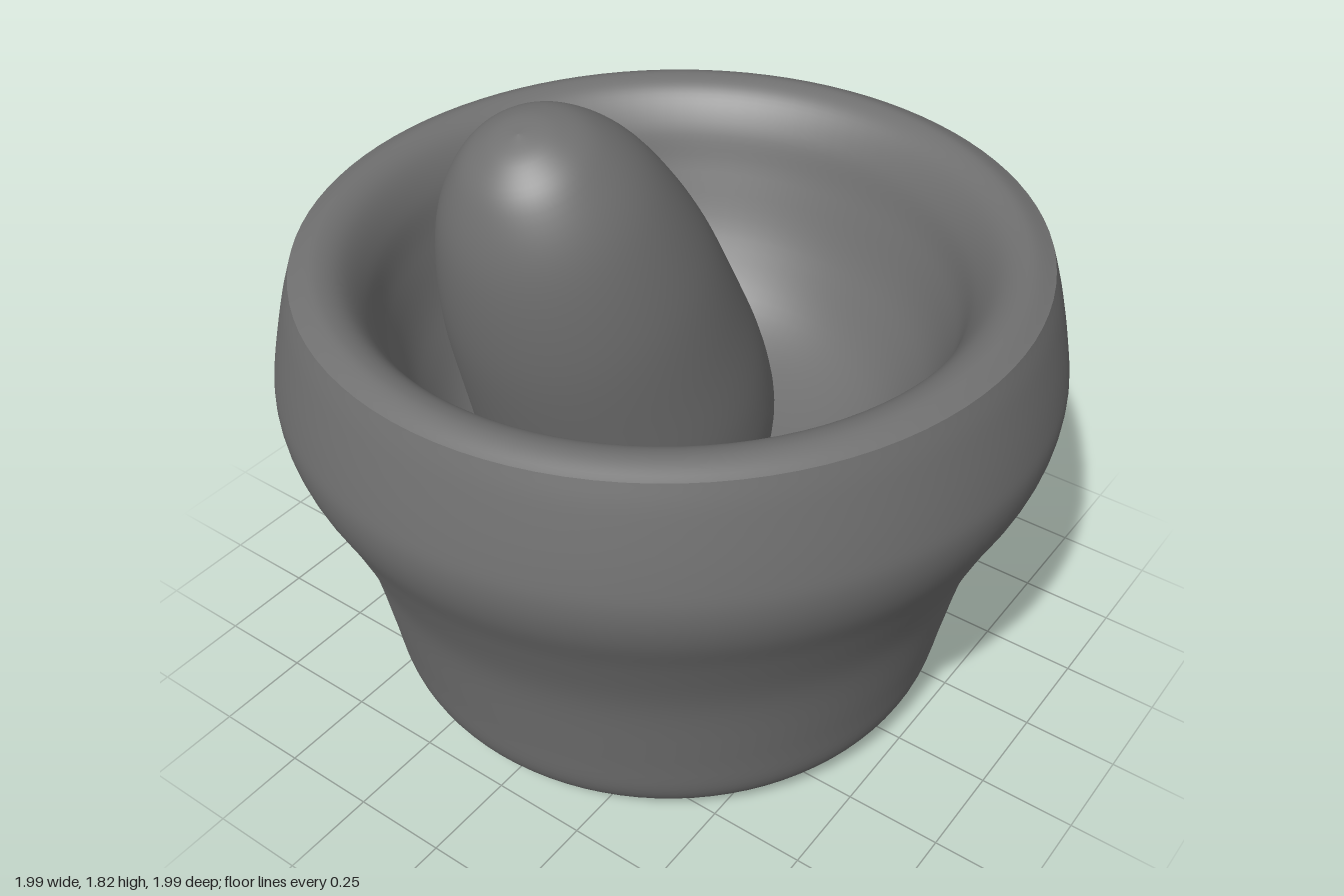
import * as THREE from 'three';

// Smooth lathe surface through a few [radius, height] points, listed from the bottom outwards
function turned(points, steps, segments = 96) {
  const curve = new THREE.SplineCurve(points.map(([r, y]) => new THREE.Vector2(r, y)));
  const profile = curve.getPoints(steps).map((p) => new THREE.Vector2(Math.max(p.x, 0), p.y));
  return new THREE.LatheGeometry(profile, segments);
}

// Hand-made unevenness: the base sits slightly off centre, rim and foot tilt a little
function unevenBowl(geometry) {
  const pos = geometry.attributes.position;
  for (let i = 0; i < pos.count; i++) {
    const x = pos.getX(i), y = pos.getY(i), z = pos.getZ(i);
    const low = THREE.MathUtils.clamp(1 - y, 0, 1);
    const high = THREE.MathUtils.smoothstep(y, 0.8, 1.25);
    pos.setXYZ(i,
      x - 0.02 * low - 0.008 * high,
      y + 0.01 * z * low + high * (0.006 * x - 0.014 * z),
      z - 0.01 * low - 0.008 * high);
  }
  return geometry;
}

export function createModel() {
  const model = new THREE.Group();
  model.name = 'mortarAndPestle';
  const stone = new THREE.MeshStandardMaterial({ color: 0x707070 });
  stone.name = 'grey stone';

  const add = (name, geometry, parent) => {
    const mesh = new THREE.Mesh(geometry, stone);
    mesh.name = name;
    parent.add(mesh);
    return mesh;
  };

  // Mortar: flat foot, bulging outer wall, and rim running into the hollow
  const mortar = new THREE.Group();
  mortar.name = 'mortar';
  model.add(mortar);
  add('foot', unevenBowl(turned([[0, 0.008], [0.3, 0.008], [0.64, 0.008]], 6)), mortar);
  add('outerWall', unevenBowl(turned([
    [0.64, 0.008], [0.7, 0.035], [0.75, 0.11], [0.78, 0.26], [0.83, 0.5], [0.905, 0.7],
    [0.972, 0.85], [0.996, 0.96], [0.986, 1.06], [0.955, 1.2], [0.932, 1.275],
  ], 50)), mortar);
  add('rimAndHollow', unevenBowl(turned([
    [0.932, 1.275], [0.87, 1.297], [0.805, 1.27], [0.75, 1.19], [0.71, 1.07],
    [0.64, 0.9], [0.52, 0.74], [0.32, 0.65], [0, 0.62],
  ], 50)), mortar);

  // Pestle: egg-like grinder, origin at the tip, leaning towards the front
  const pestle = add('pestle', turned([
    [0, -1.36], [0.14, -1.34], [0.28, -1.24], [0.35, -1.08], [0.365, -0.9], [0.348, -0.68],
    [0.315, -0.43], [0.25, -0.21], [0.165, -0.075], [0.08, -0.016], [0, 0],
  ], 60, 64), model);
  pestle.position.set(-0.005, 1.805, 0.537);
  pestle.rotation.x = 0.38;

  return model;
}
